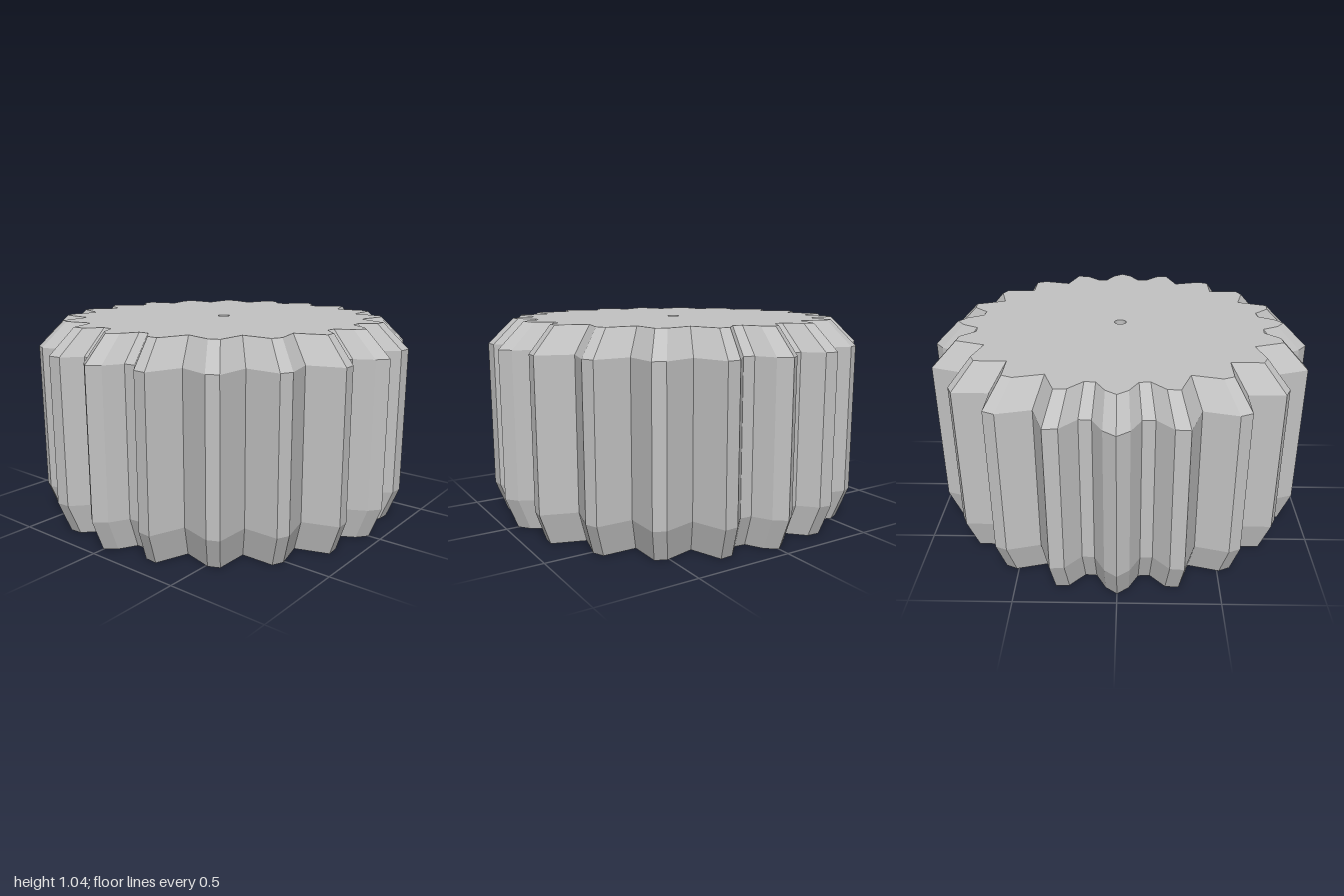
import * as THREE from 'three';

// One eighth of the toothed outline as [x, z], from the front tip to the diagonal valley
const EIGHTH = [
  [0, 1], [0.06, 0.953], [0.11, 0.86], [0.17, 0.855], [0.25, 0.94],
  [0.32, 0.945], [0.38, 0.77], [0.545, 0.813], [0.604, 0.786], [0.605, 0.605],
];

// Height and outline scale of each level: foot, body bottom, body top, crown
const LEVELS = [[0, 0.937], [0.16, 1], [0.915, 1], [1.045, 0.868]];
const HOLE_RADIUS = 0.032;

// Mirror over the diagonal, then turn the quarter four times
function fullOutline() {
  const mirrored = EIGHTH.slice(1, -1).reverse().map(([x, z]) => [z, x]);
  let quarter = [...EIGHTH, ...mirrored];
  const outline = [];
  for (let k = 0; k < 4; k++) {
    outline.push(...quarter);
    quarter = quarter.map(([x, z]) => [z, -x]);
  }
  return outline;
}

// Wall of flat quads between two levels
function band(outline, [y0, s0], [y1, s1]) {
  const positions = [];
  outline.forEach(([ax, az], i) => {
    const [bx, bz] = outline[(i + 1) % outline.length];
    const a = [ax * s0, y0, az * s0], b = [bx * s0, y0, bz * s0];
    const c = [bx * s1, y1, bz * s1], d = [ax * s1, y1, az * s1];
    positions.push(...a, ...b, ...c, ...a, ...c, ...d);
  });
  const geometry = new THREE.BufferGeometry();
  geometry.setAttribute('position', new THREE.Float32BufferAttribute(positions, 3));
  geometry.computeVertexNormals();
  return geometry;
}

// Flat end face with the round hole
function endFace(outline, [y, scale], facing) {
  const shape = new THREE.Shape(outline.map(([x, z]) => new THREE.Vector2(x * scale, z * scale)));
  shape.holes.push(new THREE.Path().absarc(0, 0, HOLE_RADIUS, 0, Math.PI * 2));
  return new THREE.ShapeGeometry(shape, 12).rotateX(-facing * Math.PI / 2).translate(0, y, 0);
}

export function createModel() {
  const group = new THREE.Group();
  group.name = 'gear';
  const grey = new THREE.MeshStandardMaterial({ color: 0xc2c2c2 });
  grey.name = 'grey';
  const add = (name, geometry) => {
    const mesh = new THREE.Mesh(geometry, grey);
    mesh.name = name;
    group.add(mesh);
  };

  const outline = fullOutline();
  const height = LEVELS[3][0];

  // Toothed walls
  ['lowerBevel', 'toothedBody', 'upperBevel'].forEach((name, i) => {
    add(name, band(outline, LEVELS[i], LEVELS[i + 1]));
  });

  // End faces
  add('topFace', endFace(outline, LEVELS[3], 1));
  add('bottomFace', endFace(outline, LEVELS[0], -1));

  // Axle hole wall, facing inwards
  add('axleHole', new THREE.LatheGeometry(
    [new THREE.Vector2(HOLE_RADIUS, height), new THREE.Vector2(HOLE_RADIUS, 0)], 24));

  return group;
}
